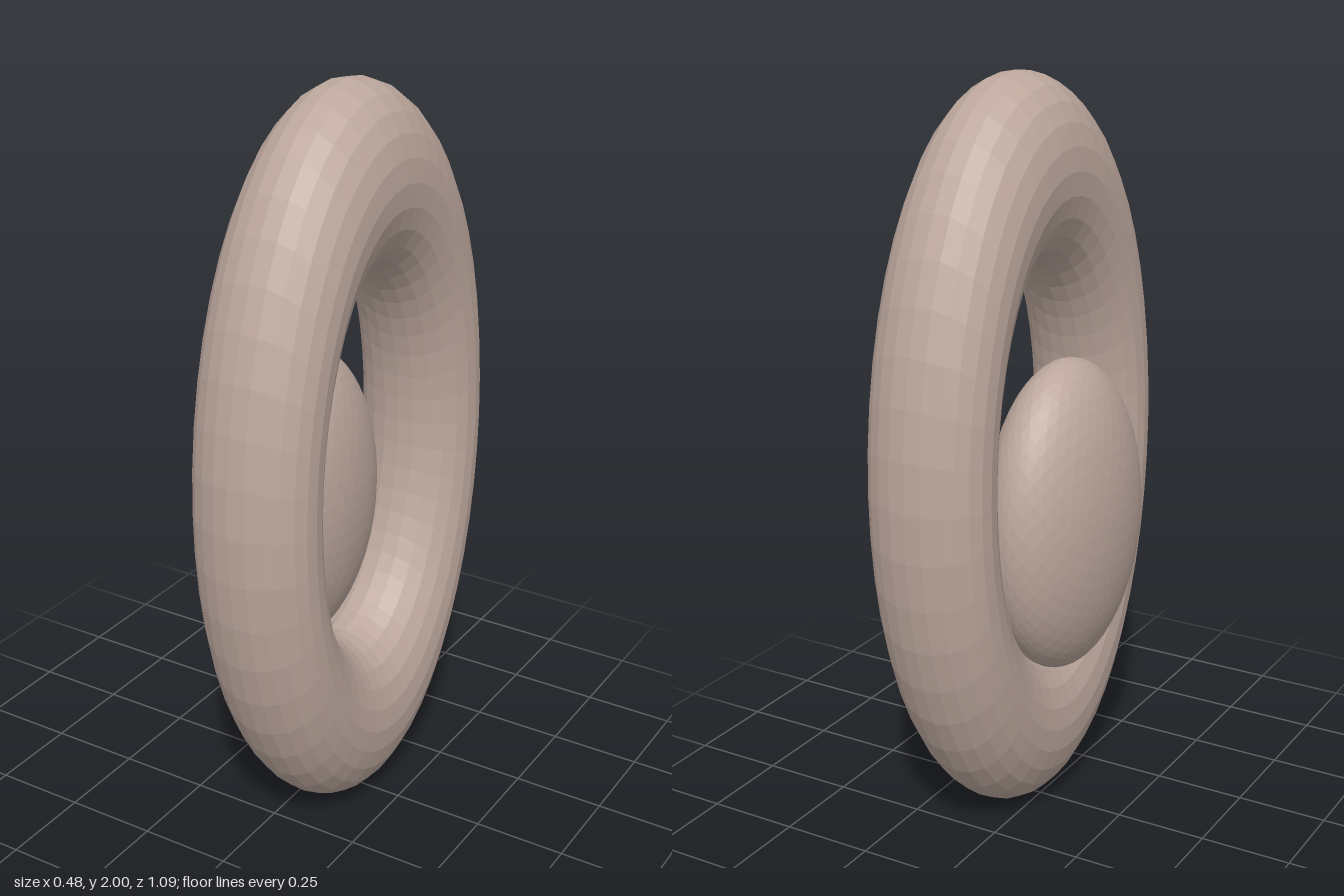
import * as THREE from 'three';

export function createModel() {
  const model = new THREE.Group();
  const clay = new THREE.MeshStandardMaterial({ color: 0xbca79d, flatShading: true });
  clay.name = 'warm clay';

  const add = (name, geometry, x, y, z) => {
    const mesh = new THREE.Mesh(geometry, clay);
    mesh.name = name;
    mesh.position.set(x, y, z);
    model.add(mesh);
  };

  // Upright oval ring, its axis along x
  const ring = new THREE.TorusGeometry(0.76, 0.24, 24, 48);
  ring.rotateY(Math.PI / 2);
  ring.scale(0.17 / 0.24, 1, 0.545);
  add('ring', ring, 0.07, 1, 0);

  // Flattened egg resting against one side of the ring
  const egg = new THREE.IcosahedronGeometry(1, 8);
  egg.scale(0.17, 0.426, 0.3);
  add('egg', egg, -0.073, 0.85, 0);

  return model;
}
